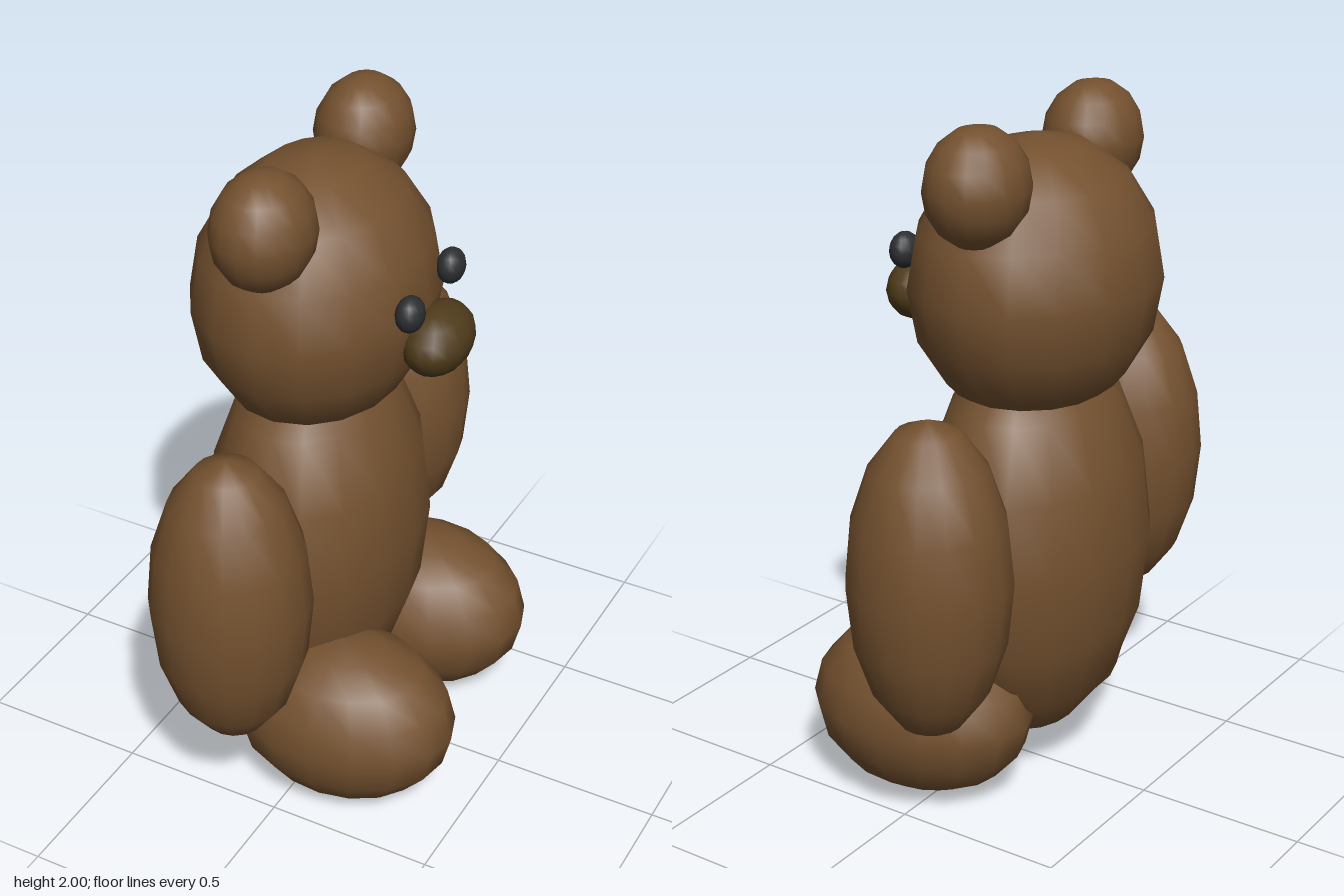
import * as THREE from 'three';

function flat(name, color) {
  const m = new THREE.MeshStandardMaterial({ color });
  m.name = name;
  return m;
}

export function createModel() {
  const fur = flat('brown fur', 0x74512f);
  const muzzle = flat('dark olive muzzle', 0x4f3b1b);
  const black = flat('charcoal eyes', 0x2c2e31);

  const model = new THREE.Group();
  model.name = 'teddyBear';

  // The bear looks along +x, turned slightly about its upright axis
  const bear = new THREE.Group();
  bear.name = 'bear';
  bear.position.x = -0.115;
  bear.rotation.y = 0.07;
  model.add(bear);

  // Every part is a coarse sphere stretched to three radii
  const ball = new THREE.SphereGeometry(1, 16, 8);
  function blob(name, material, position, radii) {
    const mesh = new THREE.Mesh(ball, material);
    mesh.name = name;
    mesh.position.set(...position);
    mesh.scale.set(...radii);
    bear.add(mesh);
  }

  // Torso, head and muzzle on the centre line
  blob('body', fur, [0, 0.73, 0], [0.312, 0.608, 0.42]);
  blob('head', fur, [0, 1.51, 0], [0.34, 0.402, 0.415]);
  blob('snout', muzzle, [0.365, 1.425, 0], [0.096, 0.097, 0.143]);

  // Paired parts
  for (const [side, s] of [['Front', 1], ['Back', -1]]) {
    const label = side === 'Front' ? 'near' : 'far';
    blob(label + 'Ear', fur, [0, 1.835, 0.32 * s], [0.141, 0.165, 0.165]);
    blob(label + 'Eye', black, [0.34, 1.57, 0.144 * s], [0.04, 0.052, 0.052]);
    blob(label + 'Arm', fur, [0, 0.815, 0.577 * s], [0.229, 0.46, 0.229]);
    blob(label + 'Leg', fur, [0.209, 0.262, 0.288 * s], [0.341, 0.26, 0.256]);
  }

  return model;
}
